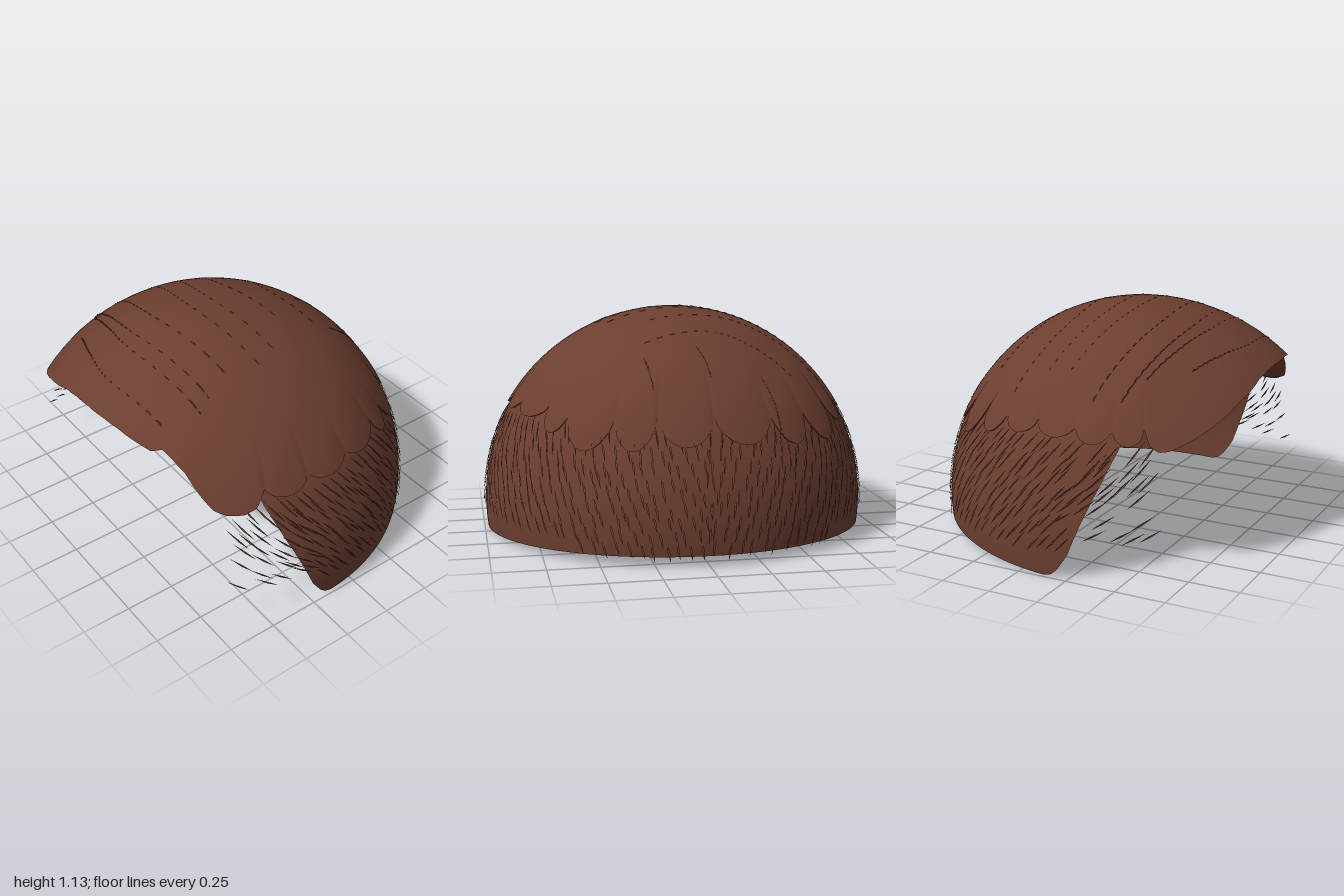
import * as THREE from 'three';

const CY = 0.135, CZ = 0.14, DEG = Math.PI / 180;
const hair = new THREE.MeshStandardMaterial({ color: 0x6c3e30, side: THREE.DoubleSide });
hair.name = 'brown hair';

// Point on the head sphere at an azimuth (0 = front, 90 = +x), height and radius
function onHead(phi, y, R) {
  const r = Math.sqrt(Math.max(0, R * R - (y - CY) ** 2));
  return new THREE.Vector3(Math.sin(phi) * r, y, CZ + Math.cos(phi) * r);
}

function lerpTable(table, x) {
  if (x <= table[0][0]) return table[0][1];
  for (let i = 1; i < table.length; i++) {
    const [x0, y0] = table[i - 1], [x1, y1] = table[i];
    if (x <= x1) return y0 + (y1 - y0) * (x - x0) / (x1 - x0);
  }
  return table[table.length - 1][1];
}

// Surface from rows x cols of points, optionally closed around
function gridMesh(name, rows, cols, wrap, point) {
  const pos = [], idx = [];
  for (let i = 0; i < rows; i++)
    for (let j = 0; j < cols; j++) pos.push(...point(i, j).toArray());
  for (let i = 0; i < rows - 1; i++)
    for (let j = 0; j < (wrap ? cols : cols - 1); j++) {
      const k = (j + 1) % cols;
      const a = i * cols + j, b = a + cols, c = i * cols + k, d = c + cols;
      idx.push(a, b, c, c, b, d);
    }
  const g = new THREE.BufferGeometry();
  g.setAttribute('position', new THREE.Float32BufferAttribute(pos, 3));
  g.setIndex(idx);
  g.computeVertexNormals();
  const m = new THREE.Mesh(g, hair);
  m.name = name;
  return m;
}

// Lower edge of the top layer: swept fringe in front, rounded locks around the rest
const fringe = [[-63, 0.68], [-61.5, 0.625], [-59, 0.6], [-56, 0.603], [-50, 0.635], [-44, 0.675], [-30, 0.77],
  [-16, 0.84], [-8, 0.86], [0, 0.868], [10, 0.868], [18, 0.86], [28, 0.838], [33, 0.825], [37, 0.838], [41, 0.81],
  [46, 0.765], [51, 0.685], [55, 0.625], [59, 0.6], [64, 0.595], [68, 0.615], [71, 0.68]];
const notches = [71, 87, 104, 123, 134, 151, 165, 183, 203, 218, 234, 247, 261, 275, 287, 297];
const tips = [0.63, 0.635, 0.63, 0.58, 0.52, 0.53, 0.55, 0.55, 0.53, 0.52, 0.58, 0.62, 0.63, 0.62, 0.62];

function edgeAt(deg) {
  if (deg >= 71 && deg <= 297) {
    let i = 0;
    while (i < tips.length - 1 && deg > notches[i + 1]) i++;
    const u = (deg - notches[i]) / (notches[i + 1] - notches[i]);
    const lobe = Math.sqrt(Math.abs(Math.sin(Math.PI * u)));
    return { y: 0.695 + (tips[i] - 0.695) * lobe, lobe };
  }
  return { y: lerpTable(fringe, deg > 297 ? deg - 360 : deg), lobe: 1 };
}

// Thick top layer: outer skin down to a crisp edge, then a rounded inner skin back to the crown
function topLayer() {
  const N = 28, cols = 480;
  const profile = [];
  for (let i = 0; i <= N; i++) profile.push([i / N, 0]);
  profile.push([1, 0], [0.992, 0.25], [0.975, 0.5], [0.95, 0.72], [0.91, 0.9], [0.86, 1]);
  for (let i = 23; i >= 0; i--) profile.push([i / N, 1]);
  return gridMesh('topLocks', profile.length, cols, true, (i, j) => {
    const deg = j / cols * 360, phi = deg * DEG;
    const { y, lobe } = edgeAt(deg);
    const [t, depth] = profile[i];
    const front = Math.max(0, Math.cos(phi));
    const theta = Math.acos((y - CY) / (1 + 0.025 * front)) * t;
    const groove = Math.max(0, (t - 0.75) / 0.25) * (1 - lobe);
    const outer = 1 + 0.025 * front * t * t - 0.008 * groove;
    const inner = 0.98 - 0.07 * (1 - (1 - lobe) * t) + 0.02 * front * t;
    const R = outer + (inner - outer) * depth;
    return new THREE.Vector3(Math.sin(phi) * Math.sin(theta) * R,
      CY + Math.cos(theta) * R, CZ + Math.cos(phi) * Math.sin(theta) * R);
  });
}

// Close-cut band round the sides and back, open at the face
const bandFront = [[0, 0.12], [0.01, 0.16], [0.04, 0.195], [0.12, 0.25], [0.25, 0.3], [0.45, 0.38], [0.6, 0.43], [0.75, 0.46]];
function bandLimit(y) {
  return Math.acos((lerpTable(bandFront, y) - CZ) / Math.sqrt(0.98 - (y - CY) ** 2));
}
function sideBand() {
  const rows = 40, cols = 121;
  return gridMesh('sideBand', rows, cols, false, (i, j) => {
    const y0 = 0.75 * (1 - i / (rows - 1)) ** 1.4;
    const start = bandLimit(y0);
    const phi = start + (2 * Math.PI - 2 * start) * j / (cols - 1);
    const back = Math.max(0, -Math.cos(phi));
    return onHead(phi, y0 + 0.055 * back * (1 - y0 / 0.75), 0.99);
  });
}

// Fine tapered strands lying on the band and sweeping past its front edge
function strands() {
  let seed = 7;
  const rnd = () => (seed = (seed * 16807) % 2147483647) / 2147483647;
  const pos = [];
  for (let row = 0; row < 9; row++)
    for (let k = 0; k < 35; k++)
      for (const side of [1, -1]) {
        const deg = 58 + (k + rnd() * 0.5 + (row % 2) * 0.5) * 3.5;
        const top = 0.64 - row * 0.062 + (rnd() - 0.5) * 0.03;
        const back = Math.min(1, Math.max(0, (deg - 60) / 120));
        const loose = deg < 82;
        if (loose && (top < 0.25 || rnd() < 0.3)) continue;
        if (row === 8 && deg < 140) continue;
        const drop = (loose ? 0.02 + top * 0.15 : 0.085) + back * 0.02;
        const turn = loose ? 6.5 : 5 * (1 - back) + 0.8;
        const at = (s, w) => onHead(side * (deg + turn * s + w * (0.2 + 0.12 * back)) * DEG,
          top - drop * s + w * 0.003, 0.994 + 0.008 * s);
        const a = at(0, 0), b = at(0.55, 1), c = at(1, 0), d = at(0.55, -1);
        for (const p of [a, b, c, a, c, d]) pos.push(p.x, p.y, p.z);
      }
  const g = new THREE.BufferGeometry();
  g.setAttribute('position', new THREE.Float32BufferAttribute(pos, 3));
  g.computeVertexNormals();
  const m = new THREE.Mesh(g, hair);
  m.name = 'fineStrands';
  return m;
}

// Hair-thin seams dipping in and out of the top layer, given as x,z points
function seam(points) {
  const flat = new THREE.CatmullRomCurve3(points.map(([x, z]) => new THREE.Vector3(x, 0, z)));
  const pts = flat.getPoints(70).map((p, i) => {
    const dz = p.z - CZ, h2 = p.x * p.x + dz * dz;
    const t = Math.asin(Math.min(1, Math.sqrt(h2))) / 0.8;
    const R = 0.9975 + 0.0025 * Math.sin(i * 1.7) + 0.025 * Math.max(0, dz / Math.sqrt(h2 + 1e-6)) * Math.min(1, t * t);
    return new THREE.Vector3(p.x, CY + Math.sqrt(Math.max(0, R * R - h2)), p.z);
  });
  const m = new THREE.Mesh(new THREE.TubeGeometry(new THREE.CatmullRomCurve3(pts), 140, 0.003, 4), hair);
  m.name = 'lockSeam';
  return m;
}

export function createModel() {
  const model = new THREE.Group();
  model.name = 'hair';
  model.add(topLayer(), sideBand(), strands());

  const seams = new THREE.Group();
  seams.name = 'lockSeams';
  // Seams sweeping across the crown
  for (const [z, x0, x1] of [[-0.3, -0.5, 0.25], [-0.1, -0.7, 0.2], [0.06, -0.65, 0.4], [0.18, -0.65, 0.45],
    [0.35, -0.75, 0.4], [0.48, -0.72, 0.42], [0.55, -0.6, 0.45], [0.71, -0.45, 0.4]]) {
    const mid = (x0 + x1) / 2;
    seams.add(seam([[x0, z - 0.09], [(x0 + mid) / 2, z - 0.02], [mid, z + 0.02], [x1, z - 0.03]]));
  }
  // Seams rising from the gaps between the rear locks
  for (const [x, z, dx] of [[-0.32, -0.5, -0.06], [-0.02, -0.4, -0.04], [0.24, -0.42, -0.02]])
    seams.add(seam([[x, z], [x + dx * 0.7, z - 0.08], [x + dx, z - 0.16]]));
  model.add(seams);
  return model;
}
